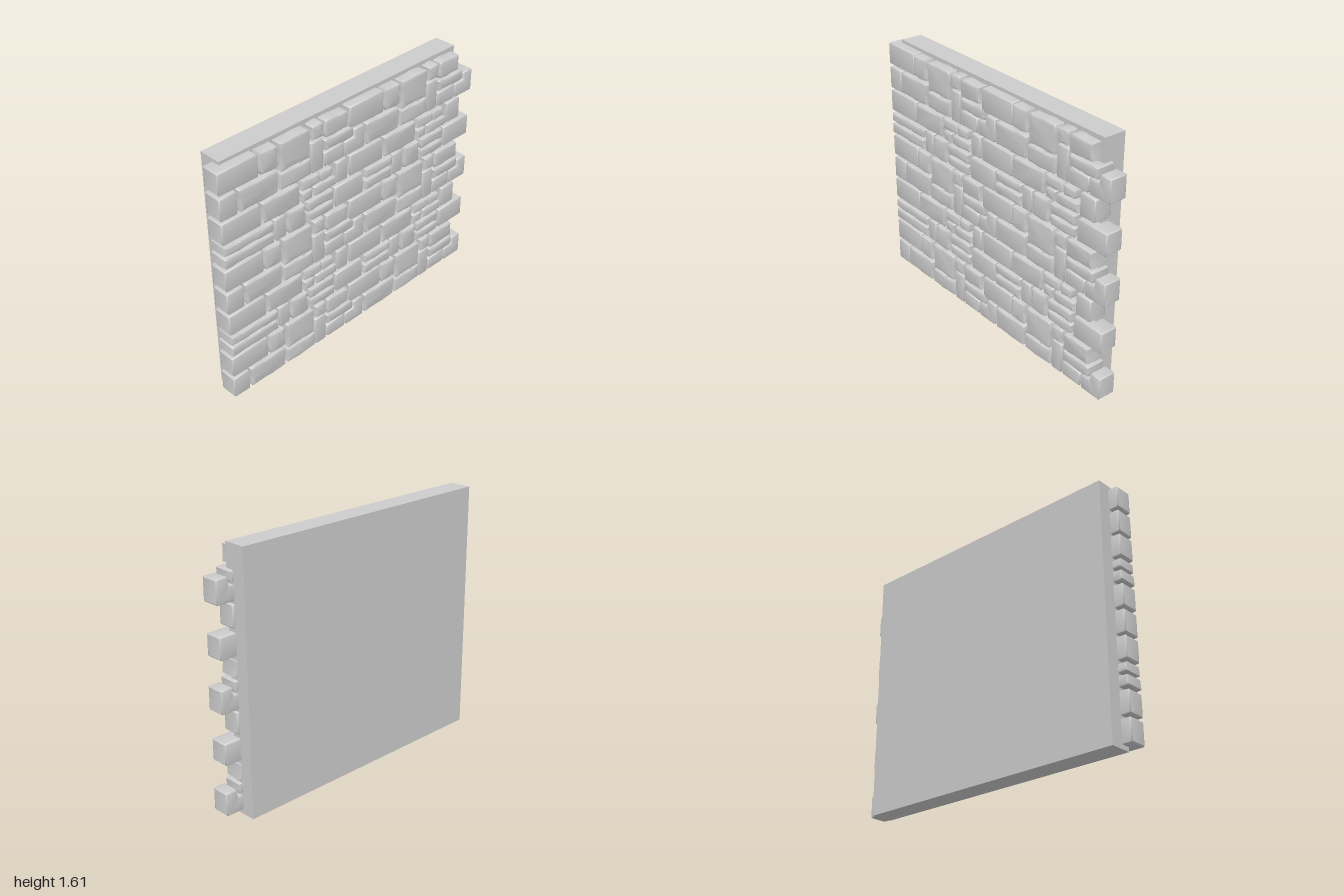
import * as THREE from 'three';
import { toCreasedNormals } from 'three/addons/utils/BufferGeometryUtils.js';

const PITCH_X = 0.94, PITCH_Y = 0.63, LEFT = -1, TOP = 1.587, BACK = -0.021;

// Repeating stones: left, right, top, bottom (down from the cell's top), edge wobble
const STONES = [
  [0, 0.267, 0, 0.139, 0], [0.278, 0.4, 0, 0.139, 1], [0.417, 0.632, 0, 0.182, 1],
  [0.646, 0.732, 0, 0.093, 1], [0.746, 0.919, 0.003, 0.114, 1],
  [0.128, 0.397, 0.155, 0.298, 1], [0.407, 0.638, 0.192, 0.298, 1],
  [0.646, 0.732, 0.103, 0.3, 0], [0.743, 0.965, 0.124, 0.196, 1], [0.743, 0.893, 0.207, 0.298, 0],
  [0, 0.267, 0.315, 0.454, 0], [0.278, 0.547, 0.315, 0.454, 1],
  [0.562, 0.7, 0.312, 0.381, 1], [0.708, 0.8, 0.318, 0.381, 1],
  [0.562, 0.643, 0.39, 0.456, 1], [0.652, 0.826, 0.39, 0.456, 1], [0.836, 0.919, 0.315, 0.454, 0],
  [0.123, 0.353, 0.47, 0.532, 1], [0.123, 0.353, 0.542, 0.612, 1], [0.363, 0.443, 0.47, 0.612, 0],
  [0.459, 0.588, 0.47, 0.614, 1], [0.604, 0.807, 0.47, 0.538, 1], [0.604, 0.807, 0.548, 0.612, 1],
  [0.823, 1.047, 0.478, 0.614, 0],
];
// Notched stone that bridges two neighbouring cells
const NOTCHED = [[0.903, 0.3], [1.055, 0.3], [1.055, 0.155], [0.975, 0.155], [0.975, 0.207], [0.903, 0.207]];

const rect = (l, r, t, b) => [[l, b], [r, b], [r, t], [l, t]];

// Outline with clipped corners and optionally wavy edges, extruded with soft bevels
function stoneGeometry(corners, wobble, seed) {
  const pts = [], cut = 0.007, n = corners.length;
  corners.forEach(([x0, y0], i) => {
    const [x1, y1] = corners[(i + 1) % n];
    const len = Math.hypot(x1 - x0, y1 - y0), dx = (x1 - x0) / len, dy = (y1 - y0) / len;
    const steps = wobble ? Math.max(2, Math.round(len / 0.025)) : 1;
    for (let k = 0; k <= steps; k++) {
      const d = cut + (len - 2 * cut) * k / steps;
      const phase = seed * 2.3 + i * 1.9;
      const inward = wobble * 0.0035 * (1 + Math.sin(d * 34 + phase) * 0.7 + Math.sin(d * 83 + phase * 2) * 0.3);
      pts.push(new THREE.Vector2(x0 + dx * d - dy * inward, y0 + dy * d + dx * inward));
    }
  });
  const bevel = 0.011, depth = (wobble ? 0.104 : 0.1) - BACK;
  const geo = new THREE.ExtrudeGeometry(new THREE.Shape(pts), {
    depth: depth - 2 * bevel, bevelThickness: bevel, bevelSize: bevel, bevelOffset: -bevel, bevelSegments: 2,
  });
  geo.translate(0, 0, BACK + bevel);
  return toCreasedNormals(geo, 0.75);
}

export function createModel() {
  const wall = new THREE.Group();
  wall.name = 'stoneWall';
  const material = new THREE.MeshStandardMaterial({ color: 0xcccccc });
  const add = (geo, name) => {
    const mesh = new THREE.Mesh(geo, material);
    mesh.name = name;
    wall.add(mesh);
    return mesh;
  };

  // Plain backing slab
  add(new THREE.BoxGeometry(1.82, 1.607, 0.142), 'backingSlab').position.set(-0.03, 0.8035, -0.034);

  // Stones, two cells across and two and a half cells down
  for (let row = 0; row < 3; row++) {
    for (let col = 0; col < 2; col++) {
      const place = (corners, wobble, seed, name = 'stone') => {
        const pts = corners.map(([u, v]) => [LEFT + u + col * PITCH_X, TOP - v - row * PITCH_Y]);
        add(stoneGeometry(pts, wobble, seed), name);
      };
      STONES.forEach(([l, r, t, b, wobble], i) => {
        if (row === 2 && t > 0.3) return;
        // End stones reach the wall's left and right ends
        if (col === 0 && l > 0.12 && l < 0.125) l = 0;
        if (col === 1 && r === 0.919 && (row > 0 || t > 0.3)) r = 0.953;
        place(rect(l, r, t, b), wobble, i);
      });
      place(NOTCHED, 0, 30, 'notchedStone');
      if (col === 0) place(rect(0, 0.117, 0.157, 0.3), 0, 31, 'endStone');

      // Small chip marks on the larger stones
      const chips = [[0.442, 0.05, 0.6], [0.325, 0.225, 0], [0.56, 0.174, 2], [0.47, 0.375, 0.3]];
      for (const [u, v, turn] of chips) {
        if (row === 2 && v > 0.3) continue;
        const chip = add(new THREE.TorusGeometry(0.009, 0.003, 5, 10, 4), 'chipMark');
        chip.position.set(LEFT + u + col * PITCH_X, TOP - v - row * PITCH_Y, 0.103);
        chip.rotation.z = turn;
        chip.scale.z = 0.5;
      }
    }
  }
  return wall;
}
